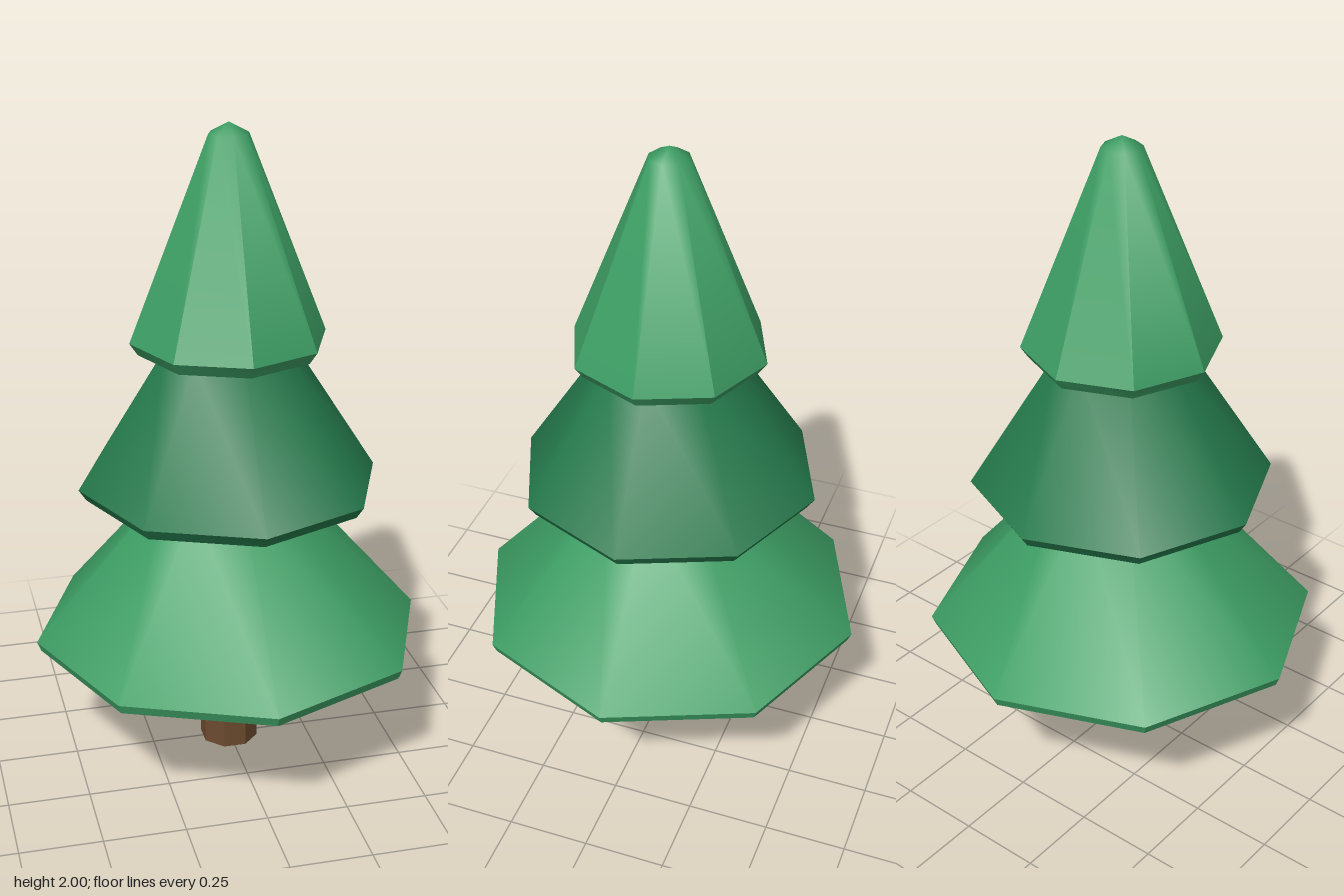
import * as THREE from 'three';
import { toCreasedNormals } from 'three/addons/utils/BufferGeometryUtils.js';

const SIDES = 8;
const CREASE = THREE.MathUtils.degToRad(40);

function material(name, color) {
  const m = new THREE.MeshStandardMaterial({ color });
  m.name = name;
  return m;
}

// Octagonal solid turned from [radius, height] points, bottom to top
function turned(name, profile, mat) {
  const points = profile.map(([r, y]) => new THREE.Vector2(r, y));
  const geometry = toCreasedNormals(new THREE.LatheGeometry(points, SIDES), CREASE);
  const mesh = new THREE.Mesh(geometry, mat);
  mesh.name = name;
  return mesh;
}

export function createModel() {
  const tree = new THREE.Group();
  tree.name = 'pineTree';
  const lightGreen = material('lightGreen', 0x3d9e64);
  const darkGreen = material('darkGreen', 0x257a4c);
  const bark = material('bark', 0x6b4a2f);

  // Trunk, turned so that a flat side faces the front
  const trunk = turned('trunk', [[0, 0], [0.092, 0], [0.092, 0.4], [0, 0.4]], bark);
  trunk.rotation.y = Math.PI / SIDES;
  tree.add(trunk);

  // Foliage tiers: flat underside, narrow undercut rim, long slope
  tree.add(turned('lowerFoliage',
    [[0, 0.38], [0.6, 0.38], [0.612, 0.41], [0.2, 0.885], [0, 0.885]], lightGreen));
  tree.add(turned('middleFoliage',
    [[0, 0.875], [0.442, 0.875], [0.465, 0.91], [0.195, 1.335], [0, 1.335]], darkGreen));
  const top = turned('topFoliage',
    [[0, 1.325], [0.275, 1.325], [0.3, 1.362], [0.06, 1.968], [0, 2]], lightGreen);
  tree.add(top);

  // Round off the tip: facets stay crisp at the rim and blend towards the point
  const { position, normal } = top.geometry.attributes;
  const n = new THREE.Vector3();
  for (let i = 0; i < position.count; i++) {
    if (position.getY(i) < 1.9) continue;
    n.set(position.getX(i), 0.045, position.getZ(i)).normalize();
    normal.setXYZ(i, n.x, n.y, n.z);
  }
  return tree;
}
